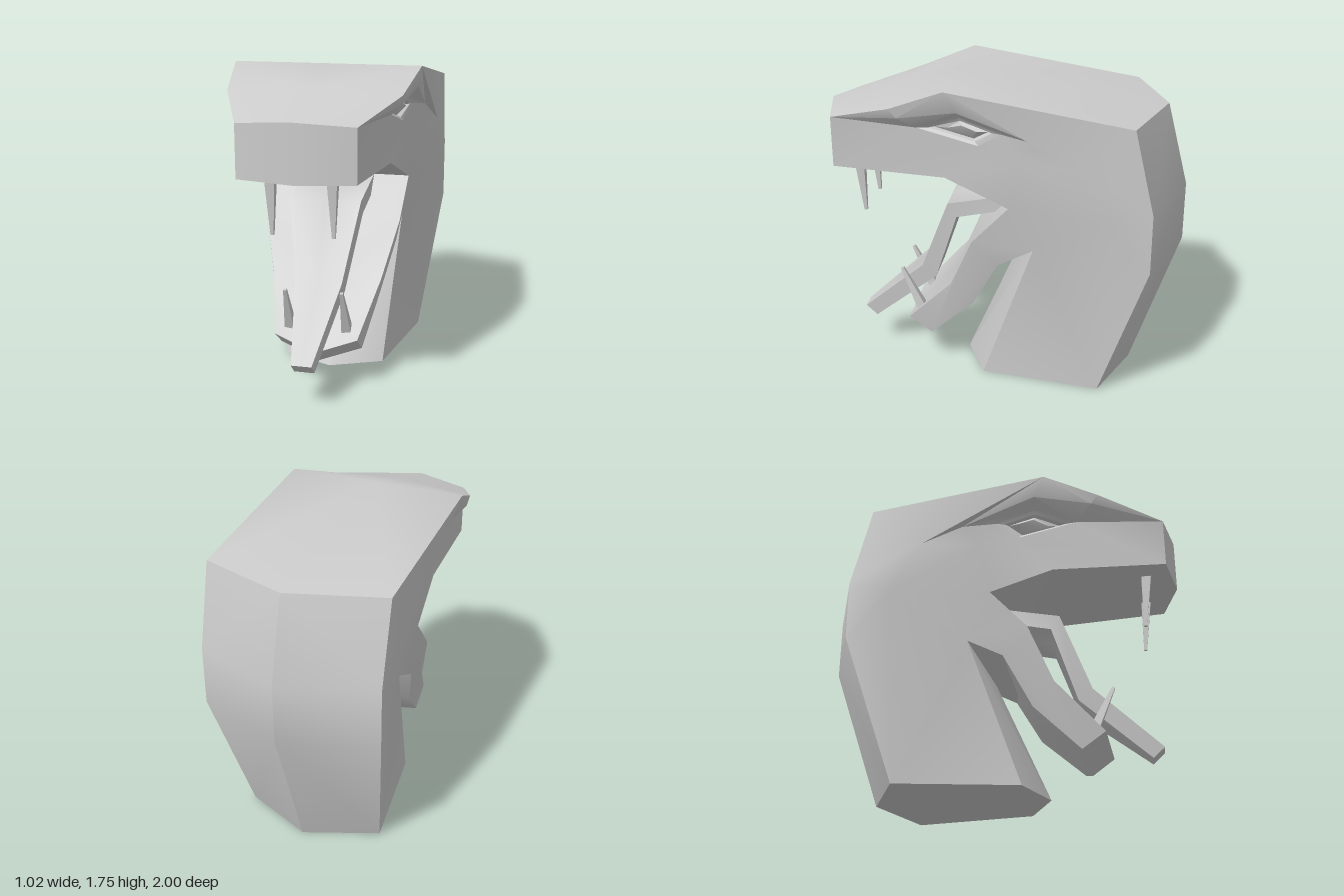
import * as THREE from 'three';
import { toCreasedNormals } from 'three/addons/utils/BufferGeometryUtils.js';

const material = new THREE.MeshStandardMaterial({ color: 0xcccccc });

// Collects triangles together with their mirror images across x = 0
function mirroredSurface() {
  const data = [];
  const tri = (a, b, c) => {
    for (const p of [a, b, c]) data.push(...p);
    for (const p of [a, c, b]) data.push(-p[0], p[1], p[2]);
  };
  const quad = (a, b, c, d) => { tri(a, b, c); tri(a, c, d); };
  // Polygon on the flank, always facing outwards
  const flank = (points) => {
    const flat = points.map(([, y, z]) => new THREE.Vector2(-z, y));
    for (const [i, j, k] of THREE.ShapeUtils.triangulateShape(flat, [])) {
      const area = THREE.ShapeUtils.area([flat[i], flat[j], flat[k]]);
      if (area > 0) tri(points[i], points[j], points[k]);
      else tri(points[i], points[k], points[j]);
    }
  };
  // Closed band from the flank outline to the centre line
  const band = (side, centre) => side.forEach((s, i) => {
    const n = (i + 1) % side.length;
    quad(side[n], centre[n], centre[i], s);
  });
  const mesh = (name, crease) => {
    const geometry = new THREE.BufferGeometry();
    geometry.setAttribute('position', new THREE.Float32BufferAttribute(data, 3));
    const result = new THREE.Mesh(toCreasedNormals(geometry, crease), material);
    result.name = name;
    return result;
  };
  return { quad, flank, band, mesh };
}

// Flank outline, each: [x, y, z, centre y, centre z]
const outline = {
  crown: [0.51, 1.75, 0.27, 1.75, 0.27],
  backTop: [0.51, 1.59, -0.71, 1.59, -0.88],
  backMid: [0.51, 1.13, -0.82, 1.13, -1.0],
  backLow: [0.51, 0.8, -0.82, 0.8, -1.0],
  baseBack: [0.4, 0, -0.56, 0, -0.73],
  baseFront: [0.29, 0, 0.11, 0, 0.24],
  throat: [0.345, 0.82, -0.18, 0.685, -0.06],
  jawUnder: [0.345, 0.72, 0.016, 0.63, 0.06],
  jawBend: [0.28, 0.44, 0.17, 0.38, 0.19],
  jawTipLow: [0.23, 0.205, 0.425, 0.13, 0.47],
  jawTipTop: [0.23, 0.3, 0.555, 0.22, 0.59],
  jawInner: [0.31, 0.57, 0.29, 0.56, 0.295],
  jawHinge: [0.385, 0.87, 0.155, 0.87, 0.155],
  mouthCorner: [0.4, 1.085, -0.05, 1.085, -0.05],
  lipBend: [0.355, 1.23, 0.3, 1.23, 0.3],
  snoutLow: [0.305, 1.25, 0.93, 1.25, 1.0],
  snoutTop: [0.305, 1.53, 0.93, 1.555, 1.0],
  brow: [0.46, 1.635, 0.57, 1.66, 0.6],
};

// Points inside the flank
const inner = {
  browLow: [0.455, 1.585, 0.53],
  browPeak: [0.485, 1.635, 0.21],
  browBack: [0.465, 1.48, -0.2],
  temple: [0.435, 1.37, -0.12],
  eyeFront: [0.38, 1.515, 0.44],
  eyeTop: [0.415, 1.59, 0.21],
  eyeBack: [0.425, 1.51, -0.02],
  eyeLow: [0.39, 1.43, 0.11],
  bulge: [0.51, 1.36, -0.42],
  cheek: [0.51, 1.08, -0.6],
};

const flankFaces = [
  'snoutTop brow browLow',
  'brow crown browPeak browLow',
  'snoutTop browLow eyeFront',
  'snoutTop eyeFront snoutLow',
  'eyeFront eyeLow lipBend snoutLow',
  'browLow browPeak eyeTop eyeFront',
  'browPeak browBack eyeBack eyeTop',
  'eyeBack browBack temple',
  'eyeBack temple eyeLow',
  'eyeLow temple mouthCorner lipBend',
  'crown bulge browBack browPeak',
  'crown backTop bulge',
  'browBack bulge temple',
  'temple bulge cheek',
  'temple cheek mouthCorner',
  'backTop backMid cheek bulge',
  'backMid backLow cheek',
  'cheek backLow baseBack',
  'mouthCorner cheek throat',
  'throat cheek baseBack',
  'throat baseBack baseFront',
  'mouthCorner throat jawUnder jawBend jawTipLow jawTipTop jawInner jawHinge',
];

// Skull, neck, jaw and mouth lining
function headAndNeck() {
  const surface = mirroredSurface();
  const loop = Object.values(outline);
  surface.band(loop.map((p) => p.slice(0, 3)), loop.map((p) => [0, p[3], p[4]]));
  const at = (name) => (outline[name] || inner[name]).slice(0, 3);
  for (const face of flankFaces) surface.flank(face.split(' ').map(at));
  return surface.mesh('headAndNeck', 0.6);
}

// Sunken diamond sockets with a raised eyeball
function eyes() {
  const surface = mirroredSurface();
  const rim = [inner.eyeFront, inner.eyeLow, inner.eyeBack, inner.eyeTop];
  const ring = (scale, depth) => rim.map(([x, y, z]) =>
    [x - depth, 1.515 + (y - 1.515) * scale, 0.19 + (z - 0.19) * scale]);
  const rings = [rim, ring(0.75, 0.012), ring(0.65, 0.035), ring(0.35, 0.02)];
  for (let r = 0; r < 3; r++) {
    for (let i = 0; i < 4; i++) {
      const n = (i + 1) % 4;
      surface.quad(rings[r][i], rings[r][n], rings[r + 1][n], rings[r + 1][i]);
    }
  }
  surface.flank(rings[3]);
  return surface.mesh('eyes', 0.3);
}

// Bent tongue tapering towards its tip
function tongue() {
  const surface = mirroredSurface();
  const side = [
    [0.055, 0.26, 0.865], [0.13, 0.59, 0.49], [0.2, 1.015, 0.32], [0.2, 1.085, -0.05],
    [0.2, 0.985, 0.03], [0.2, 0.935, 0.27], [0.13, 0.525, 0.41], [0.055, 0.2, 0.8],
  ];
  surface.band(side, side.map(([, y, z]) => [0, y, z]));
  surface.flank(side);
  return surface.mesh('tongue', 1.1);
}

// Square tapered tooth from base to tip
function fang(name, base, tip) {
  const from = new THREE.Vector3(...base);
  const axis = new THREE.Vector3(...tip).sub(from);
  const length = axis.length();
  const geometry = new THREE.CylinderGeometry(0.012, 0.039, length, 4).rotateY(Math.PI / 4);
  geometry.translate(0, length / 2, 0);
  const mesh = new THREE.Mesh(toCreasedNormals(geometry, 0.3), material);
  mesh.name = name;
  mesh.position.copy(from);
  mesh.quaternion.setFromUnitVectors(new THREE.Vector3(0, 1, 0), axis.normalize());
  return mesh;
}

export function createModel() {
  const group = new THREE.Group();
  group.name = 'snakeHead';
  group.add(headAndNeck(), eyes(), tongue());
  for (const [sign, label] of [[1, 'left'], [-1, 'right']]) {
    group.add(fang(label + 'UpperFang', [sign * 0.16, 1.26, 0.82], [sign * 0.16, 0.94, 0.8]));
    group.add(fang(label + 'LowerFang', [sign * 0.16, 0.31, 0.48], [sign * 0.155, 0.58, 0.605]));
  }
  return group;
}
